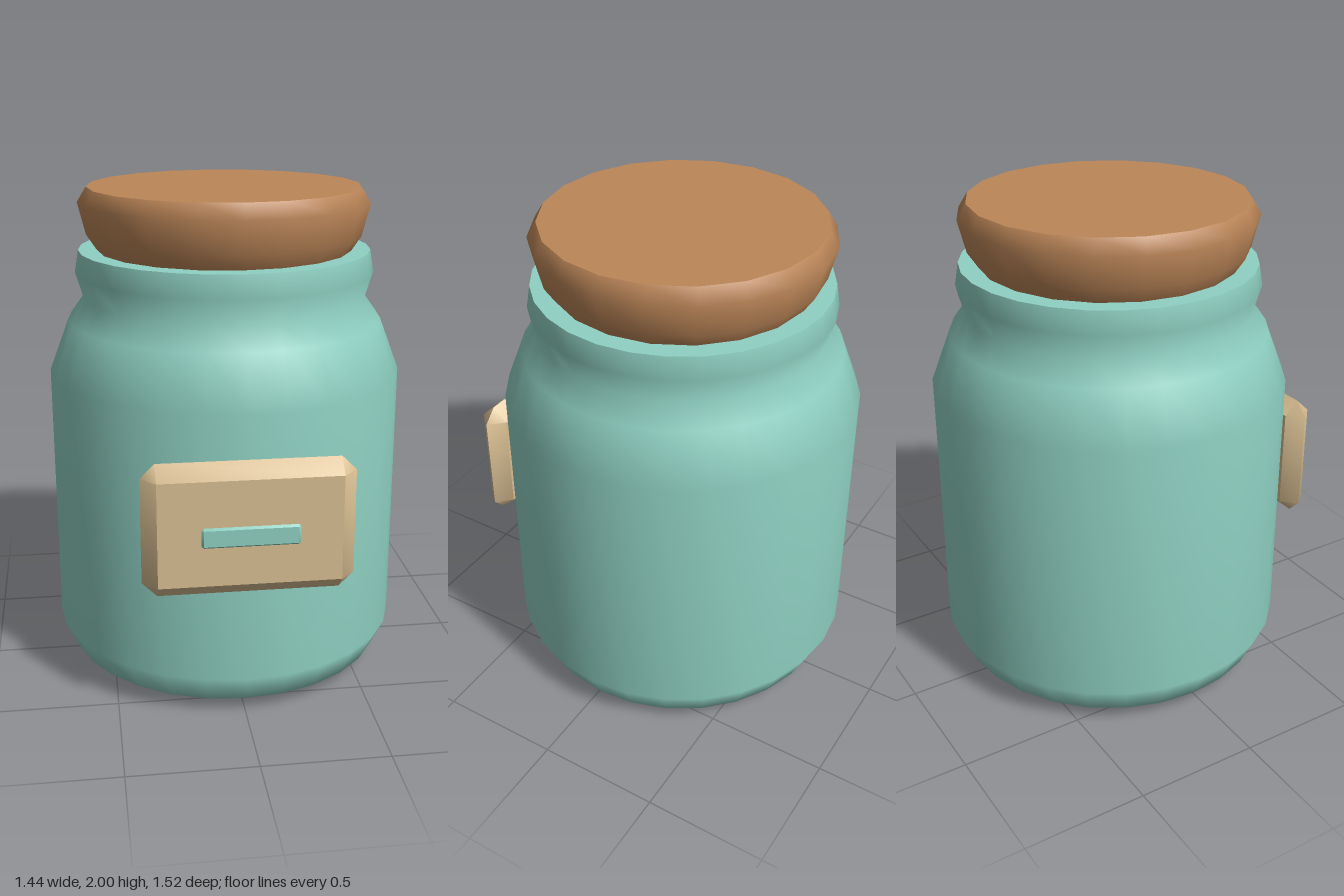
import * as THREE from 'three';
import { toCreasedNormals } from 'three/addons/utils/BufferGeometryUtils.js';
import { ConvexGeometry } from 'three/addons/geometries/ConvexGeometry.js';

const glaze = new THREE.MeshStandardMaterial({ name: 'teal glaze', color: 0x8fd0c2 });
const cork = new THREE.MeshStandardMaterial({ name: 'cork brown', color: 0xbc8658 });
const paper = new THREE.MeshStandardMaterial({ name: 'tan label', color: 0xd8be92 });

// Smooth lathed wall with flat discs closing both ends
function turned(name, profile, sides, material) {
  const group = new THREE.Group();
  group.name = name;
  const points = profile.map(([r, y]) => new THREE.Vector2(r, y));
  const wall = new THREE.Mesh(new THREE.LatheGeometry(points, sides), material);
  wall.name = name + 'Wall';
  group.add(wall);
  [[profile[0], 1, 'Bottom'], [profile[profile.length - 1], -1, 'Top']].forEach(([[r, y], dir, end]) => {
    const cap = new THREE.Mesh(new THREE.CircleGeometry(r, sides, Math.PI / 2), material);
    cap.rotation.x = dir * Math.PI / 2;
    cap.position.y = y;
    cap.name = name + end;
    group.add(cap);
  });
  return group;
}

// Plate with bevelled edges and clipped corners
function plate(name, w, h, d, bevel, material) {
  const points = [];
  for (const sx of [-1, 1]) for (const sy of [-1, 1]) {
    const x = sx * w / 2, y = sy * h / 2;
    const ix = x - sx * bevel, iy = y - sy * bevel;
    points.push(
      new THREE.Vector3(ix, iy, d / 2), new THREE.Vector3(ix, iy, -d / 2),
      new THREE.Vector3(x, iy, 0), new THREE.Vector3(ix, y, 0));
  }
  const mesh = new THREE.Mesh(toCreasedNormals(new ConvexGeometry(points), 0.68), material);
  mesh.name = name;
  return mesh;
}

export function createModel() {
  const model = new THREE.Group();
  model.name = 'corkedJar';

  // Jar body with shoulder, neck and lip
  const jar = turned('jar', [
    [0.54, 0], [0.665, 0.06], [0.72, 0.175], [0.72, 1.26], [0.64, 1.47],
    [0.575, 1.56], [0.605, 1.66], [0.59, 1.75],
  ], 28, glaze);
  jar.position.z = -0.042;

  // Cork stopper
  const stopper = turned('stopper', [
    [0.48, 1.69], [0.515, 1.75], [0.555, 1.81], [0.587, 1.94], [0.55, 2],
  ], 20, cork);
  stopper.position.z = -0.042;

  // Label and its small raised bar
  const label = plate('label', 0.81, 0.53, 0.12, 0.057, paper);
  label.position.set(0, 0.825, 0.68);
  const bar = plate('labelBar', 0.37, 0.08, 0.02, 0.008, glaze);
  bar.position.set(0, 0.815, 0.748);

  model.add(jar, stopper, label, bar);
  return model;
}
